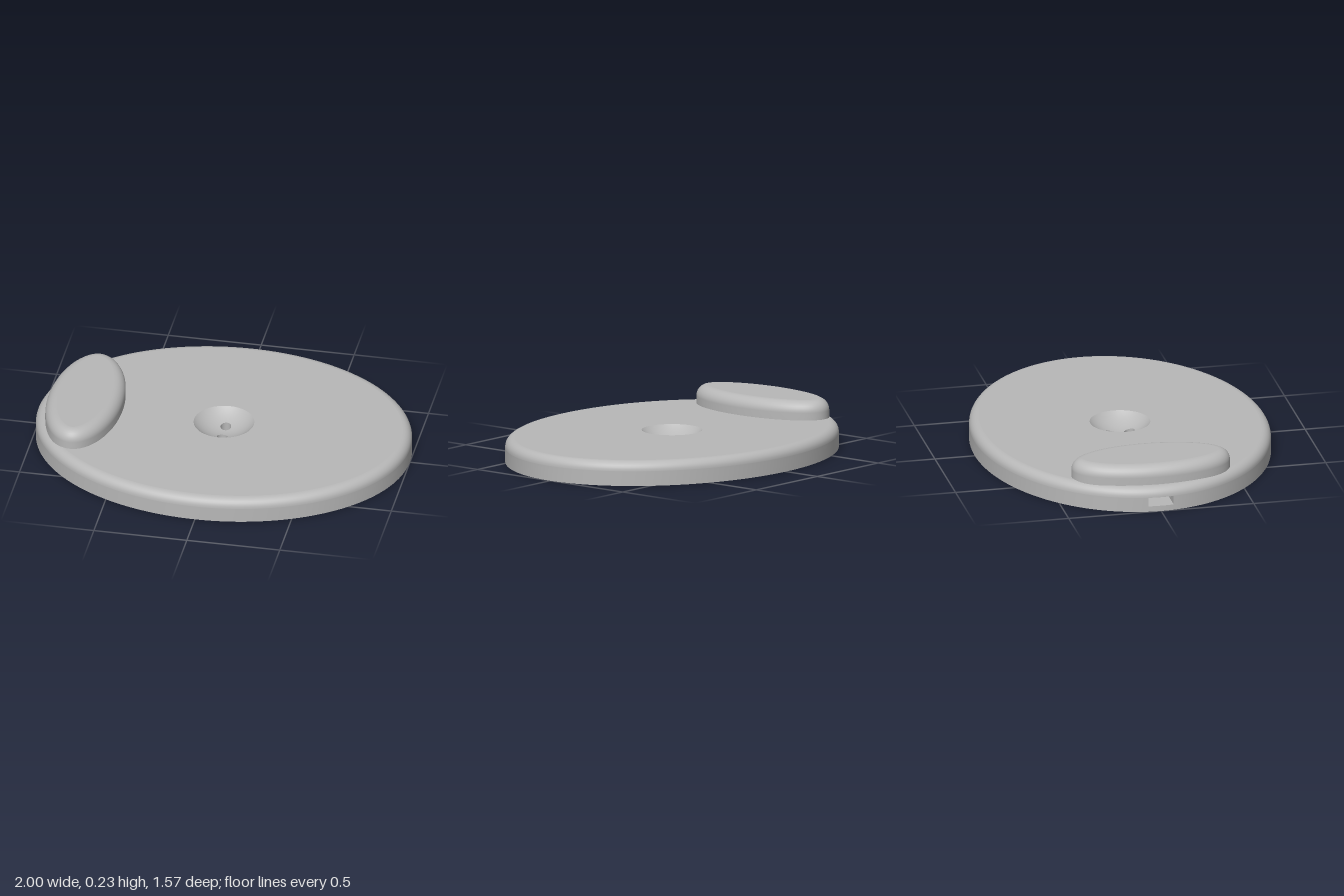
import * as THREE from 'three';

const N = 144;            // segments around
const TOP = 0.13;         // height of the base
const V = (x, y, z) => new THREE.Vector3(x, y, z);

// Skin closed rings of points; rising rings face outward
function loft(rings, skip = () => false) {
  const n = rings[0].length, index = [];
  for (let r = 0; r < rings.length - 1; r++) {
    for (let j = 0; j < n; j++) {
      if (skip(r, j)) continue;
      const k = (j + 1) % n;
      const a = r * n + j, b = r * n + k, c = b + n, d = a + n;
      index.push(a, d, b, b, d, c);
    }
  }
  const g = new THREE.BufferGeometry().setFromPoints(rings.flat());
  g.setIndex(index);
  g.computeVertexNormals();
  return g;
}

// Ellipse ring moved inward along its normal
function ellipse(rx, rz, y, inset = 0, cx = 0) {
  return Array.from({ length: N }, (_, i) => {
    const t = (i / N) * Math.PI * 2, c = Math.cos(t), s = Math.sin(t);
    const l = Math.hypot(c / rx, s / rz);
    return V(cx + rx * c - inset * c / rx / l, y, rz * s - inset * s / rz / l);
  });
}

// Quarter-round edge rings ending at height y
function roundedEdge(rx, rz, y, radius, cx = 0, steps = 8) {
  return Array.from({ length: steps + 1 }, (_, i) => {
    const a = (i / steps) * Math.PI / 2;
    return ellipse(rx, rz, y - radius + radius * Math.sin(a), radius * (1 - Math.cos(a)), cx);
  });
}

const point = (n, x, y, z) => Array.from({ length: n }, () => V(x, y, z));

export function createModel() {
  const group = new THREE.Group();
  const grey = new THREE.MeshStandardMaterial({ color: 0xb8b8b8 });
  grey.name = 'grey';
  const add = (name, geometry, parent = group) => {
    const mesh = new THREE.Mesh(geometry, grey);
    mesh.name = name;
    parent.add(mesh);
  };

  // Oval base wall with rounded top edge and a slot opening at the -x end
  const RX = 1, RZ = 0.785, slotLow = 0.03, slotHigh = 0.078, half = 2;
  const inSlot = (r, j) => r === 1 && j >= N / 2 - half && j < N / 2 + half;
  const edge = roundedEdge(RX, RZ, TOP, 0.05);
  const low = ellipse(RX, RZ, slotLow), high = ellipse(RX, RZ, slotHigh);
  add('baseRim', loft([ellipse(RX, RZ, 0), low, high, ...edge], inSlot));
  const bowlRadius = 0.16, bowlDepth = 0.068;
  add('baseTop', loft([edge.at(-1), ellipse(bowlRadius, bowlRadius, TOP)]));
  add('baseBottom', loft([point(N, 0, 0, 0), ellipse(RX, RZ, 0)]));

  // Pocket behind the slot
  const mouth = [
    ...low.slice(N / 2 - half, N / 2 + half + 1),
    ...high.slice(N / 2 - half, N / 2 + half + 1).reverse(),
  ];
  const back = mouth.map(p => V(-0.85, p.y, p.z));
  const pocket = loft([mouth, back, point(mouth.length, -0.85, (slotLow + slotHigh) / 2, 0)]).toNonIndexed();
  pocket.computeVertexNormals();
  add('slotPocket', pocket);

  // Spherical bowl in two halves, each pierced by a small round hole
  const R = (bowlRadius ** 2 + bowlDepth ** 2) / (2 * bowlDepth);
  const centre = V(0, TOP - bowlDepth + R, 0);
  const onBowl = (x, z) => V(x, centre.y - Math.sqrt(R * R - x * x - z * z), z);
  const bowl = new THREE.Group();
  bowl.name = 'bowl';
  group.add(bowl);
  const holeRadius = 0.028, holeFloor = 0.02, arc = N / 2, line = 24;
  for (const side of [1, -1]) {
    const hz = 0.051 * side;
    const rim = [];
    for (let i = 0; i < arc; i++) {
      const t = (i / arc) * Math.PI;
      rim.push([side * bowlRadius * Math.cos(t), side * bowlRadius * Math.sin(t)]);
    }
    for (let i = 0; i < line; i++) rim.push([side * bowlRadius * (2 * i / line - 1), 0]);
    const hole = rim.map(([x, z]) => {
      const l = Math.hypot(x, z - hz);
      return [x / l * holeRadius, hz + (z - hz) / l * holeRadius];
    });
    const rings = [];
    for (let k = 0; k <= 8; k++) {
      rings.push(rim.map(([x, z], i) => onBowl(
        THREE.MathUtils.lerp(x, hole[i][0], k / 8),
        THREE.MathUtils.lerp(z, hole[i][1], k / 8))));
    }
    const skin = loft(rings);
    const normals = rings.flat().map(p => centre.clone().sub(p).normalize());
    skin.setAttribute('normal', new THREE.Float32BufferAttribute(normals.flatMap(n => n.toArray()), 3));
    add('bowlHalf', skin, bowl);

    // Hole wall and floor
    const bottom = hole.map(([x, z]) => V(x, holeFloor, z));
    add('holeWall', loft([rings.at(-1), bottom]), bowl);
    add('holeFloor', loft([bottom, point(bottom.length, 0, holeFloor, hz)]), bowl);
  }

  // Raised oval pad near the -x end
  const PX = 0.199, PZ = 0.426, cx = -0.745, padTop = 0.23;
  const padEdge = roundedEdge(PX, PZ, padTop, 0.06, cx);
  add('padSide', loft([ellipse(PX, PZ, 0.1, 0, cx), ...padEdge]));
  add('padTop', loft([padEdge.at(-1), point(N, cx, padTop, 0)]));

  return group;
}
